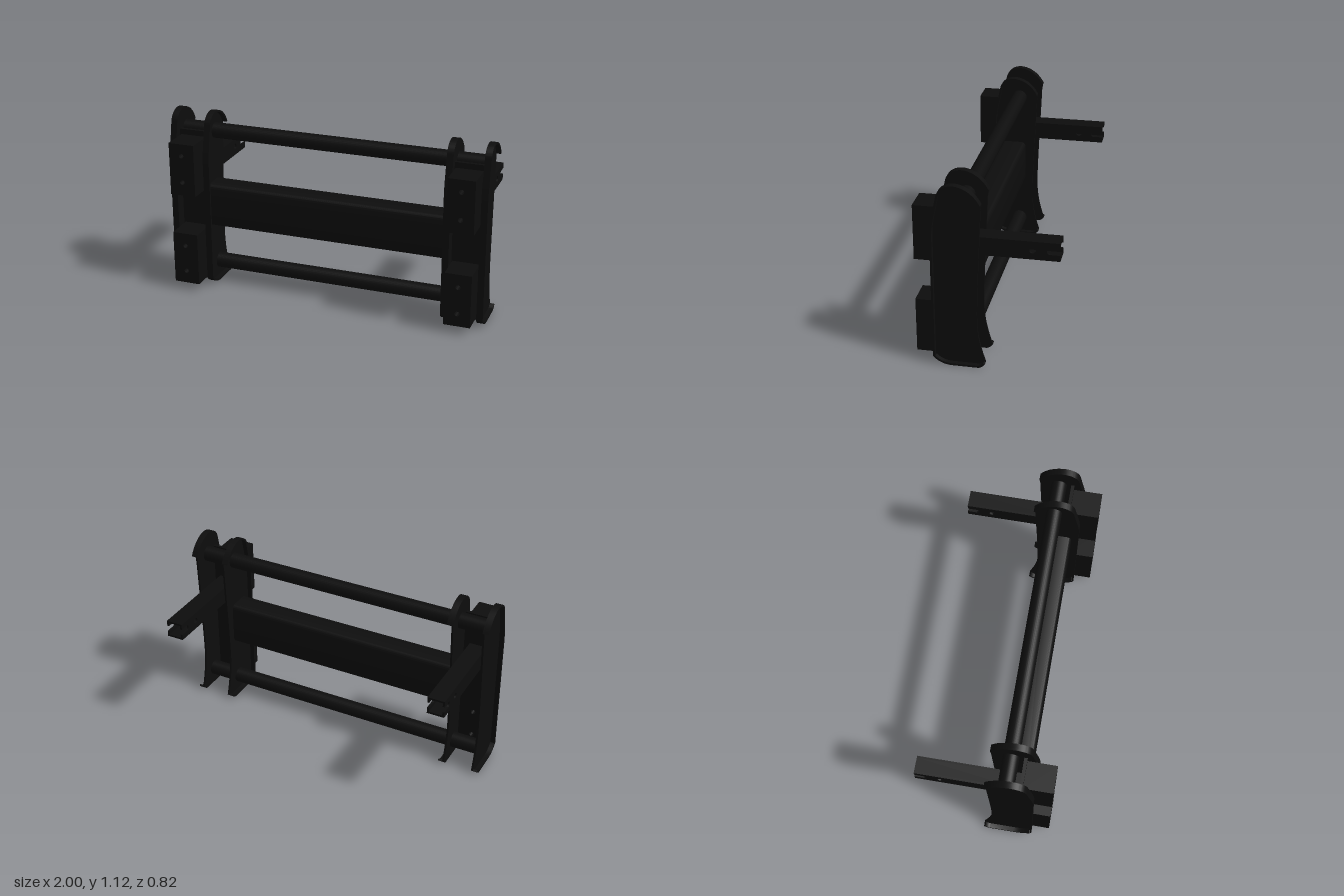
import * as THREE from 'three';
import { toCreasedNormals } from 'three/addons/utils/BufferGeometryUtils.js';

const material = new THREE.MeshStandardMaterial({ color: 0x0d0d0d });

function add(parent, name, geometry) {
  const mesh = new THREE.Mesh(geometry, material);
  mesh.name = name;
  parent.add(mesh);
  return mesh;
}

// Extrude a (z, y) side profile along x, from x0 to x1
function alongX(shape, x0, x1) {
  const g = new THREE.ExtrudeGeometry(shape, { depth: x1 - x0, bevelEnabled: false, curveSegments: 14 });
  g.rotateY(-Math.PI / 2).translate(x1, 0, 0);
  return toCreasedNormals(g, 0.6);
}

// Extrude an (x, y) front profile along z, from z0 to z1
function alongZ(shape, z0, z1) {
  const g = new THREE.ExtrudeGeometry(shape, { depth: z1 - z0, bevelEnabled: false, curveSegments: 14 });
  return toCreasedNormals(g.translate(0, 0, z0), 0.6);
}

function rect(x0, y0, x1, y1) {
  return new THREE.Shape([[x0, y0], [x1, y0], [x1, y1], [x0, y1]].map(p => new THREE.Vector2(...p)));
}

function drill(shape, x, y, r) {
  shape.holes.push(new THREE.Path().absarc(x, y, r, 0, Math.PI * 2, true));
}

// Flanged edge of a side plate: top lip, over the front, round to the foot lip
function rimPoints() {
  const p = new THREE.Path();
  p.moveTo(0.018, 1.01);
  p.bezierCurveTo(0.05, 1.075, 0.11, 1.118, 0.175, 1.118);
  p.bezierCurveTo(0.225, 1.115, 0.257, 1.085, 0.264, 1.05);
  p.lineTo(0.285, 0.95);
  p.bezierCurveTo(0.297, 0.9, 0.305, 0.85, 0.305, 0.8);
  p.lineTo(0.305, 0.05);
  p.bezierCurveTo(0.275, 0.015, 0.235, 0, 0.19, 0);
  p.lineTo(0.04, 0);
  p.quadraticCurveTo(0.02, 0.005, 0.004, 0.025);
  return p.getPoints(14);
}

// Thin strip following the rim, thickened inwards
function rimShape(points, t) {
  const inner = points.map((p, i) => {
    const a = points[Math.max(i - 1, 0)], b = points[Math.min(i + 1, points.length - 1)];
    const d = b.clone().sub(a).normalize();
    return new THREE.Vector2(p.x + d.y * t, p.y - d.x * t);
  });
  return new THREE.Shape([...points, ...inner.reverse()]);
}

function plateShape(points) {
  const s = new THREE.Shape(points);
  s.bezierCurveTo(0.035, 0.12, 0.052, 0.2, 0.052, 0.3);
  s.bezierCurveTo(0.052, 0.45, 0.036, 0.7, 0.024, 0.97);
  s.lineTo(0.018, 1.01);
  return s;
}

function createBracket(side) {
  const bracket = new THREE.Group();
  bracket.name = side > 0 ? 'leftBracket' : 'rightBracket';
  // span between two distances from the centre, mirrored by side
  const span = (a, b) => (side > 0 ? [a, b] : [-b, -a]);
  const [bx0, bx1] = span(0.775, 0.965);
  const cx = 0.87 * side;

  // Side plates with flanges turned away from the bracket's middle
  const rim = rimPoints();
  const plate = plateShape(rim), flange = rimShape(rim, 0.012);
  add(bracket, 'outerPlate', alongX(plate, ...span(0.96, 0.972)));
  add(bracket, 'outerFlange', alongX(flange, ...span(0.965, 1)));
  add(bracket, 'innerPlate', alongX(plate, ...span(0.768, 0.78)));
  add(bracket, 'innerFlange', alongX(flange, ...span(0.74, 0.775)));

  // Drilled mounting plate
  const holes = [0.13, 0.3, 0.72, 0.89];
  const mount = rect(bx0, 0.02, bx1, 1.0);
  holes.forEach(y => drill(mount, cx, y, 0.015));
  add(bracket, 'mountingPlate', alongZ(mount, 0.215, 0.235));

  // Two bumper pads
  const [px0, px1] = span(0.787, 0.95);
  [[0.05, 0.382, 'lowerPad'], [0.635, 0.965, 'upperPad']].forEach(([y0, y1, name]) => {
    const pad = rect(px0, y0, px1, y1);
    holes.filter(y => y > y0 && y < y1).forEach(y => drill(pad, cx, y, 0.015));
    add(bracket, name, alongZ(pad, 0.235, 0.41));
  });

  // Hollow rear arm: slotted side walls closed by top and bottom walls
  const arm = new THREE.Group();
  arm.name = 'rearArm';
  bracket.add(arm);
  const wall = new THREE.Shape();
  wall.moveTo(-0.408, 0.682);
  wall.lineTo(0.215, 0.682);
  wall.lineTo(0.215, 0.791);
  wall.lineTo(-0.408, 0.791);
  wall.lineTo(-0.408, 0.755);
  wall.lineTo(-0.352, 0.755);
  wall.absarc(-0.352, 0.737, 0.018, Math.PI / 2, -Math.PI / 2, true);
  wall.lineTo(-0.408, 0.719);
  drill(wall, -0.254, 0.737, 0.018);
  add(arm, 'armOuterWall', alongX(wall, ...span(0.911, 0.923)));
  add(arm, 'armInnerWall', alongX(wall, ...span(0.817, 0.829)));
  [[0.688, 'armBottom'], [0.785, 'armTop']].forEach(([y, name]) => {
    add(arm, name, new THREE.BoxGeometry(0.084, 0.012, 0.623)).position.set(cx, y, -0.0965);
  });
  return bracket;
}

// Cross beam section with rounded corners
function beamShape() {
  const z0 = 0.1, z1 = 0.26, y0 = 0.39, y1 = 0.665, r = 0.03;
  const s = new THREE.Shape();
  s.absarc(z1 - r, y0 + r, r, -Math.PI / 2, 0);
  s.absarc(z1 - r, y1 - r, r, 0, Math.PI / 2);
  s.absarc(z0 + r, y1 - r, r, Math.PI / 2, Math.PI);
  s.absarc(z0 + r, y0 + r, r, Math.PI, Math.PI * 1.5);
  return s;
}

export function createModel() {
  const model = new THREE.Group();
  model.name = 'bumperGuard';
  model.add(createBracket(1), createBracket(-1));
  add(model, 'crossBeam', alongX(beamShape(), -0.77, 0.77));

  // Round cross rods
  [[0.983, 'upperRod'], [0.11, 'lowerRod']].forEach(([y, name]) => {
    const rod = new THREE.CylinderGeometry(0.048, 0.048, 1.92, 32).rotateZ(Math.PI / 2);
    add(model, name, rod).position.set(0, y, 0.14);
  });
  return model;
}
